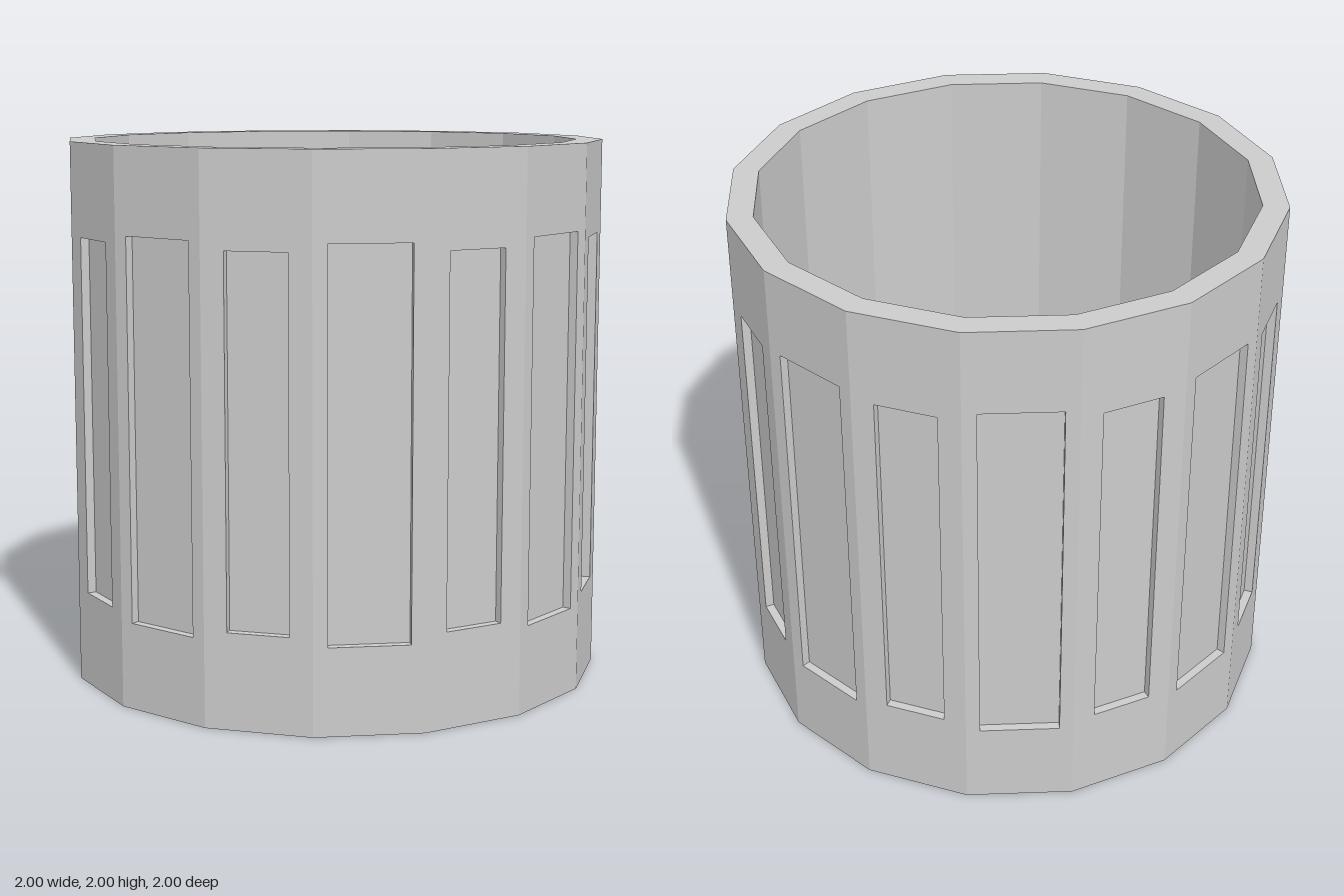
import * as THREE from 'three';

const SIDES = 16;
const STEP = (Math.PI * 2) / SIDES;
const TWIST = THREE.MathUtils.degToRad(0.5);
const HEIGHT = 2;
const OUTER = 1;
const INNER = 0.905;
const FLOOR = 0.095;
const RECESS = 0.032;

const material = new THREE.MeshStandardMaterial({ color: 0xcccccc, flatShading: true });

// Four corners of an upright rectangle, counter-clockwise from the front
function rectangle(width, bottom, top, z) {
  const w = width / 2;
  return [[-w, bottom, z], [w, bottom, z], [w, top, z], [-w, top, z]];
}

// One flat wall side with a sunken rectangular panel
function panelGeometry(panelWidth, bottom, top) {
  const width = 2 * OUTER * Math.sin(STEP / 2);
  const loops = [
    rectangle(width, 0, HEIGHT, 0),
    rectangle(panelWidth, bottom, top, 0),
    rectangle(panelWidth, bottom, top, -RECESS),
  ];
  const positions = [];
  const quad = (a, b, c, d) => positions.push(...a, ...b, ...c, ...a, ...c, ...d);
  for (let l = 0; l < loops.length - 1; l++) {
    for (let i = 0; i < 4; i++) {
      const j = (i + 1) % 4;
      quad(loops[l][i], loops[l][j], loops[l + 1][j], loops[l + 1][i]);
    }
  }
  quad(...loops[2]);
  const geometry = new THREE.BufferGeometry();
  geometry.setAttribute('position', new THREE.Float32BufferAttribute(positions, 3));
  geometry.computeVertexNormals();
  return geometry;
}

// Faceted surface turned from a radius/height profile
function turned(name, profile) {
  const points = profile.map(([r, y]) => new THREE.Vector2(r, y));
  const mesh = new THREE.Mesh(new THREE.LatheGeometry(points, SIDES, -TWIST), material);
  mesh.name = name;
  return mesh;
}

export function createModel() {
  const model = new THREE.Group();
  model.name = 'panelledCup';

  // Outer wall: narrow and wide panels take turns
  const wall = new THREE.Group();
  wall.name = 'outerWall';
  const narrow = panelGeometry(0.224, 0.348, 1.66);
  const wide = panelGeometry(0.288, 0.316, 1.69);
  const apothem = OUTER * Math.cos(STEP / 2);
  for (let i = 0; i < SIDES; i++) {
    const angle = TWIST + (i + 0.5) * STEP;
    const side = new THREE.Mesh(i % 2 ? wide : narrow, material);
    side.name = i % 2 ? 'widePanelSide' : 'narrowPanelSide';
    side.position.set(apothem * Math.cos(angle), 0, apothem * Math.sin(angle));
    side.rotation.y = Math.PI / 2 - angle;
    wall.add(side);
  }
  model.add(wall);

  // Rim, inner wall and inside floor
  model.add(turned('rimAndInterior', [[OUTER, HEIGHT], [INNER, HEIGHT], [INNER, FLOOR], [0, FLOOR]]));

  // Underside
  model.add(turned('base', [[0, 0], [OUTER, 0]]));

  return model;
}
